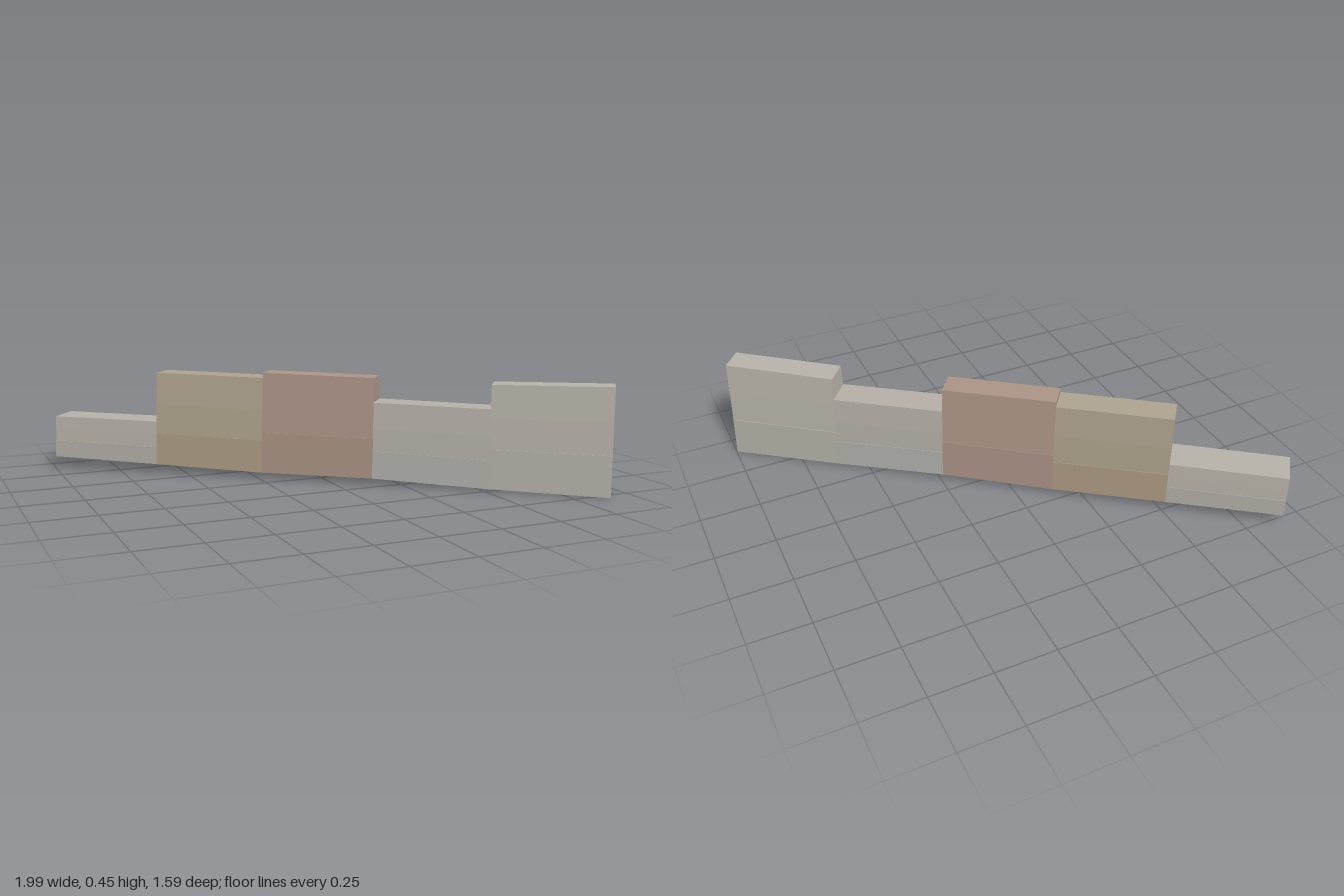
import * as THREE from 'three';

const LENGTH = 2.38, COUNT = 5;
const STEP = LENGTH / COUNT;

// Half width of the battered wall at a height above its foot
const halfWidth = (h) => 0.0875 - 0.079 * h;

// Ground level at each joint, from the high end to the low end
const ground = [0.052, 0.04, 0.027, 0.027, 0.009, 0];

// Each block: top height at both ends, course joints (fractions), course colours from the bottom up
const blocks = [
  { name: 'endBlockLow', top: [0.23, 0.225], joints: [0, 0.4, 0.68, 1], colors: [0xaeaba3, 0xb5afa4, 0xb5b0a7] },
  { name: 'tanBlock', top: [0.435, 0.427], joints: [0, 0.34, 0.66, 1], colors: [0xa8987f, 0xaca08a, 0xada28f] },
  { name: 'reddishBlock', top: [0.448, 0.44], joints: [0, 0.4, 1], colors: [0xa78f82, 0xab9386] },
  { name: 'greyBlock', top: [0.34, 0.33], joints: [0, 0.36, 0.66, 1], colors: [0xacaca8, 0xb0ada5, 0xb4aea6] },
  { name: 'endBlockHigh', top: [0.428, 0.434], joints: [0, 0.38, 0.68, 1], colors: [0xb0aea4, 0xb4b0a7, 0xb6b2a8] },
];

// A stone course: a unit box stretched between two joints and narrowed with height
function makeCourse(index, block, low, high, inset, color) {
  const geometry = new THREE.BoxGeometry(1, 1, 1);
  const p = geometry.attributes.position;
  for (let i = 0; i < p.count; i++) {
    const end = p.getX(i) > 0 ? 1 : 0;
    const foot = ground[index + end];
    const f = p.getY(i) > 0 ? high : low;
    const h = (block.top[end] - foot) * f;
    const side = Math.sign(p.getZ(i));
    p.setXYZ(i, -LENGTH / 2 + (index + end) * STEP, foot + h, side * (halfWidth(h) - (f > 0 ? inset : 0)));
  }
  geometry.computeVertexNormals();
  const material = new THREE.MeshStandardMaterial({ color, flatShading: true });
  return new THREE.Mesh(geometry, material);
}

export function createModel() {
  const model = new THREE.Group();
  model.name = 'steppedStoneWall';

  blocks.forEach((block, index) => {
    const group = new THREE.Group();
    group.name = block.name;
    block.colors.forEach((color, c) => {
      // Alternate courses sit very slightly in or out
      const inset = c % 2 ? 0.0015 : -0.001;
      const course = makeCourse(index, block, block.joints[c], block.joints[c + 1], inset, color);
      course.name = 'course' + (c + 1);
      group.add(course);
    });
    model.add(group);
  });

  // The wall runs diagonally across the ground
  const wall = new THREE.Group();
  wall.name = 'wall';
  model.rotation.y = -0.655;
  wall.add(model);
  return wall;
}
